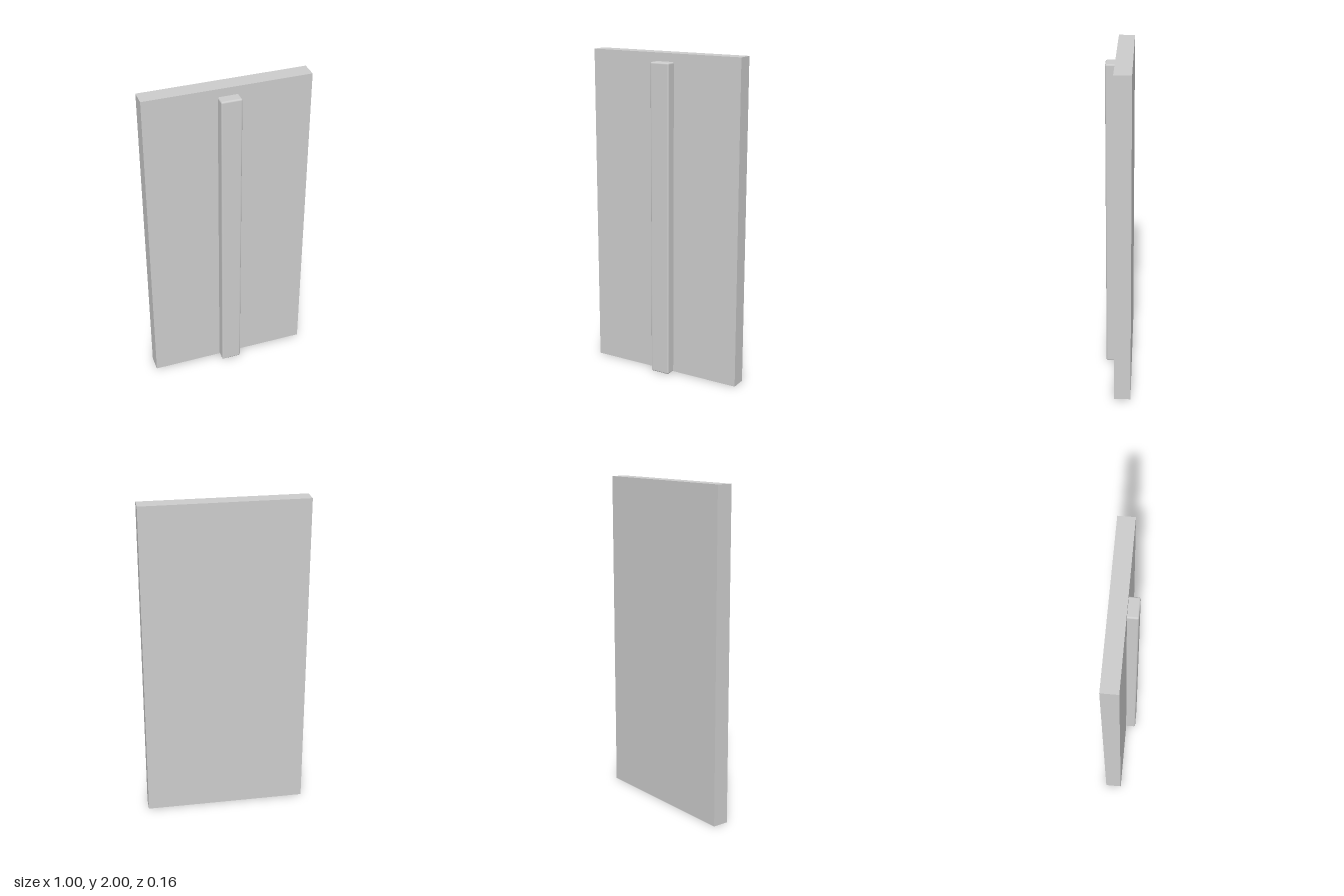
import * as THREE from 'three';
import { RoundedBoxGeometry } from 'three/addons/geometries/RoundedBoxGeometry.js';

export function createModel() {
  const group = new THREE.Group();
  const material = new THREE.MeshStandardMaterial({ color: 0xcccccc });

  const add = (name, geometry, x, y, z) => {
    const mesh = new THREE.Mesh(geometry, material);
    mesh.name = name;
    mesh.position.set(x, y, z);
    group.add(mesh);
  };

  // Flat upright slab
  add('panel', new THREE.BoxGeometry(1, 2, 0.1), 0, 1, -0.032);

  // Soft-edged batten down the middle of the front, its back set into the slab
  add('centreBatten', new RoundedBoxGeometry(0.125, 1.95, 0.12, 3, 0.01), 0, 0.975, 0.021);

  return group;
}
